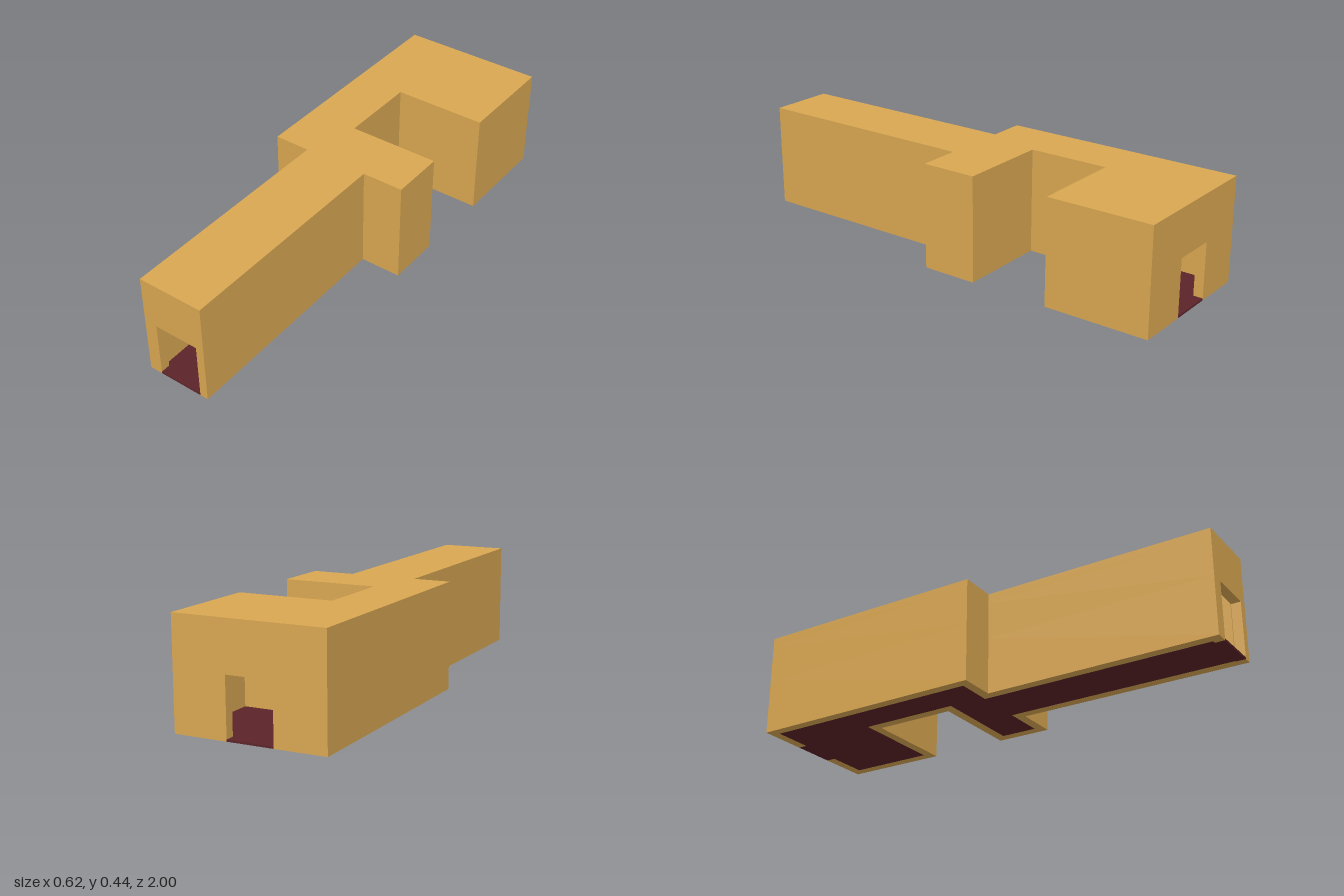
import * as THREE from 'three';

const WALL = 0.04, HEIGHT = 0.44, ROOF = 0.04;
const DOOR_HEIGHT = 0.24, DOOR_LEFT = 0.09, DOOR_RIGHT = -0.1;

// Plan outline as [x, z], anticlockwise seen from above, split by the two doorways
const leftSide = [
  [0.125, 1], [0.125, 0.02], [0.302, 0.02], [0.302, -0.215],
  [-0.09, -0.215], [-0.09, -0.557], [0.308, -0.557], [0.308, -1],
];
const rightSide = [[-0.31, -1], [-0.31, 0.02], [-0.155, 0.02], [-0.155, 1]];
const outline = [...leftSide, ...rightSide];

// Moves every wall line of the plan inwards by t
function inset(points, t) {
  const n = points.length;
  const normal = (a, b) => {
    const dx = b[0] - a[0], dz = b[1] - a[1], len = Math.hypot(dx, dz);
    return [dz / len, -dx / len];
  };
  return points.map((p, i) => {
    const n1 = normal(points[(i + n - 1) % n], p);
    const n2 = normal(p, points[(i + 1) % n]);
    return [p[0] + t * (n1[0] + n2[0]), p[1] + t * (n1[1] + n2[1])];
  });
}

const toPlan = (points) => points.map(([x, z]) => new THREE.Vector2(x, -z));

// Raises a plan shape from y0 to y1
function raise(name, points, y0, y1, material, hole) {
  const shape = new THREE.Shape(toPlan(points));
  if (hole) shape.holes.push(new THREE.Path(toPlan(hole)));
  const geometry = new THREE.ExtrudeGeometry(shape, { depth: y1 - y0, bevelEnabled: false });
  geometry.rotateX(-Math.PI / 2).translate(0, y0, 0);
  const mesh = new THREE.Mesh(geometry, material);
  mesh.name = name;
  return mesh;
}

export function createModel() {
  const sandstone = new THREE.MeshStandardMaterial({ color: 0xd9a752 });
  sandstone.name = 'sandstone';
  const darkRed = new THREE.MeshStandardMaterial({ color: 0x5c2429 });
  darkRed.name = 'dark red';

  const group = new THREE.Group();
  group.name = 'corridorBuilding';

  const inner = inset(outline, WALL);
  const innerLeft = inner.slice(0, leftSide.length);
  const innerRight = inner.slice(leftSide.length);

  // Lower walls, open at the front and back doorways
  group.add(raise('leftWalls', [
    [DOOR_LEFT, 1], ...leftSide, [DOOR_LEFT, -1],
    [DOOR_LEFT, -1 + WALL], ...[...innerLeft].reverse(), [DOOR_LEFT, 1 - WALL],
  ].filter((p, i, a) => i === 0 || Math.hypot(p[0] - a[i - 1][0], p[1] - a[i - 1][1]) > 1e-4),
  0, DOOR_HEIGHT, sandstone));
  group.add(raise('rightWalls', [
    [DOOR_RIGHT, -1], ...rightSide, [DOOR_RIGHT, 1],
    [DOOR_RIGHT, 1 - WALL], ...[...innerRight].reverse(), [DOOR_RIGHT, -1 + WALL],
  ], 0, DOOR_HEIGHT, sandstone));

  // Upper walls with the lintels, and the roof slab
  group.add(raise('upperWalls', outline, DOOR_HEIGHT, HEIGHT - ROOF, sandstone, inner));
  group.add(raise('roof', outline, HEIGHT - ROOF, HEIGHT, sandstone));

  // Floor inside the walls, carried through both doorways
  const floor = [
    [DOOR_LEFT, 1], [DOOR_LEFT, 1 - WALL], ...innerLeft, [DOOR_LEFT, -1 + WALL], [DOOR_LEFT, -1],
    [DOOR_RIGHT, -1], [DOOR_RIGHT, -1 + WALL], ...innerRight, [DOOR_RIGHT, 1 - WALL], [DOOR_RIGHT, 1],
  ];
  // The corridor wall is narrower than the door reveal, so keep the plan simple there
  group.add(raise('floor', floor, 0, 0.008, darkRed));
  return group;
}
